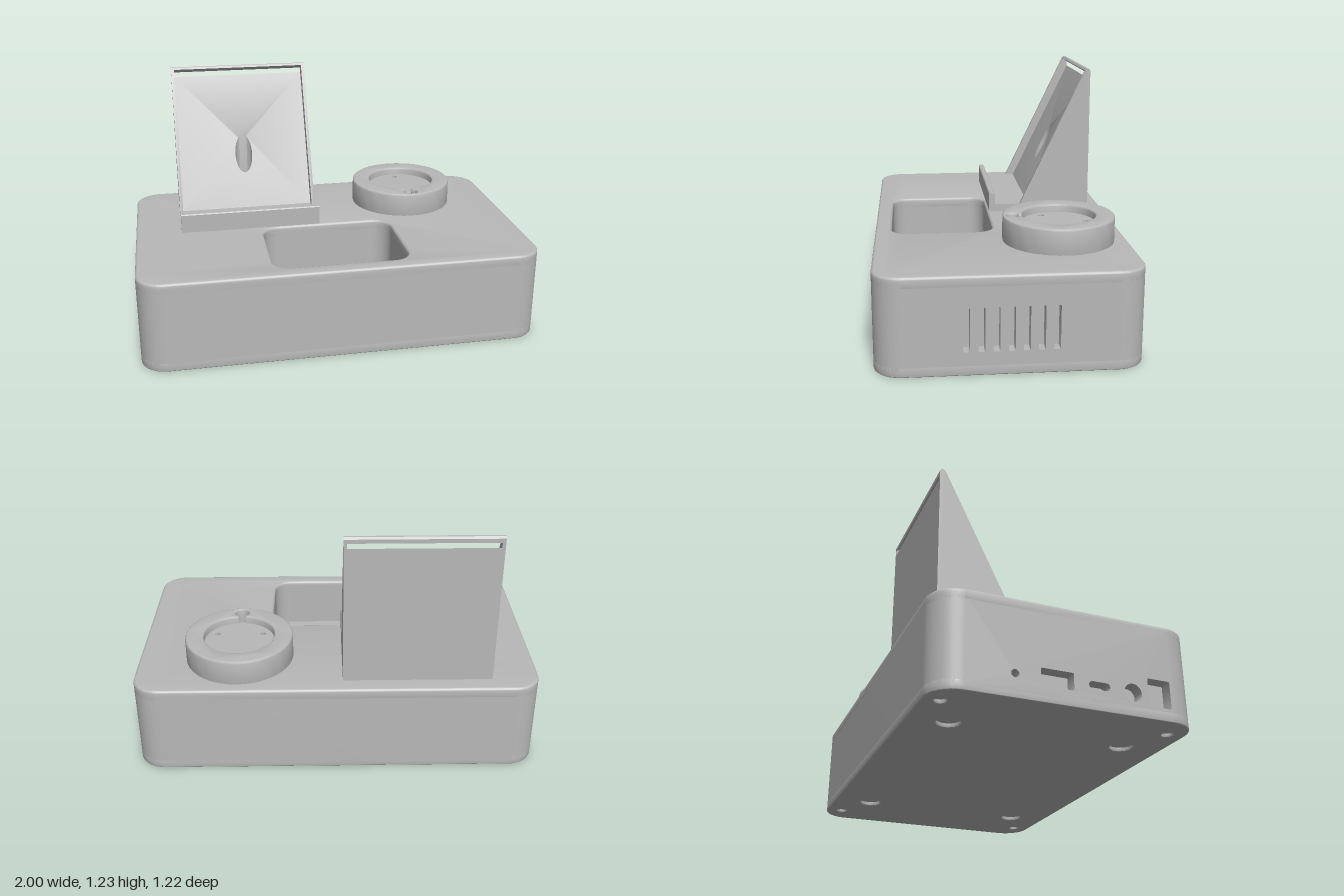
import * as THREE from 'three';
import { toCreasedNormals } from 'three/addons/utils/BufferGeometryUtils.js';

const grey = new THREE.MeshStandardMaterial({ color: 0xb8b8b8 });
grey.name = 'plain grey';

// Rounded rectangle; notch sinks the straight left and right edges inwards.
function roundRect(x0, x1, y0, y1, r, notch = 0) {
  const s = new THREE.Shape();
  const q = Math.PI / 2;
  s.absarc(x1 - r, y0 + r, r, -q, 0);
  if (notch) { s.lineTo(x1 - notch, y0 + r); s.lineTo(x1 - notch, y1 - r); }
  s.absarc(x1 - r, y1 - r, r, 0, q);
  s.absarc(x0 + r, y1 - r, r, q, 2 * q);
  if (notch) { s.lineTo(x0 + notch, y1 - r); s.lineTo(x0 + notch, y0 + r); }
  s.absarc(x0 + r, y0 + r, r, 2 * q, 3 * q);
  return s;
}

const circle = (x, y, r) => new THREE.Shape().absarc(x, y, r, 0, Math.PI * 2);
const polygon = (pts) => new THREE.Shape(pts.map(([x, y]) => new THREE.Vector2(x, y)));

function extrude(shape, depth, bevel) {
  const g = new THREE.ExtrudeGeometry(shape, {
    depth: depth - 2 * bevel, curveSegments: 20, bevelEnabled: bevel > 0,
    bevelThickness: bevel, bevelSize: bevel, bevelOffset: -bevel, bevelSegments: 3,
  });
  return g.translate(0, 0, bevel);
}

// Plan shape (x, -z) raised from y0 to y1.
const slab = (shape, y0, y1, bevel = 0) =>
  extrude(shape, y1 - y0, bevel).rotateX(-Math.PI / 2).translate(0, y0, 0);

// Side profile (z, y) swept from x0 to x1.
const across = (shape, x0, x1) =>
  extrude(shape, x1 - x0, 0).rotateY(-Math.PI / 2).translate(x1, 0, 0);

function add(group, name, geometry) {
  const mesh = new THREE.Mesh(toCreasedNormals(geometry, 0.6), grey);
  mesh.name = name;
  group.add(mesh);
}

function makeBase() {
  const g = new THREE.Group();
  g.name = 'base';
  const outline = (notch) => roundRect(-1, 1, -0.61, 0.61, 0.13, notch);
  const pocket = () => roundRect(-0.345, 0.34, -0.53, -0.02, 0.09);

  // Bottom plate with sunken feet and screw holes
  const bottom = outline(0);
  for (const sx of [-1, 1]) for (const sz of [-1, 1]) {
    bottom.holes.push(circle(sx * 0.645, sz * 0.42, 0.055));
    bottom.holes.push(circle(sx * 0.86, sz * 0.53, 0.028));
  }
  add(g, 'bottomPlate', slab(bottom, 0, 0.05, 0.005));

  // Body core, notched where the side panels sit
  const core = outline(0.06);
  core.holes.push(pocket());
  add(g, 'bodyCore', slab(core, 0.02, 0.44));
  add(g, 'pocketFloor', slab(pocket(), 0.03, 0.19));

  const top = outline(0);
  top.holes.push(pocket());
  add(g, 'topPlate', slab(top, 0.4, 0.46, 0.012));

  // Vent panel
  const panel = () => polygon([[-0.48, 0.03], [0.48, 0.03], [0.48, 0.44], [-0.48, 0.44]]);
  const vents = panel();
  for (let i = -3; i <= 3; i++) {
    const z = i * 0.0667;
    vents.holes.push(roundRect(z - 0.015, z + 0.015, 0.11, 0.315, 0.004));
  }
  add(g, 'ventPanel', across(vents, 0.94, 1));

  // Socket panel
  const sockets = panel();
  sockets.holes.push(
    circle(-0.26, 0.11, 0.018),
    roundRect(-0.145, 0.005, 0.075, 0.155, 0.005),
    roundRect(0.075, 0.175, 0.097, 0.133, 0.017),
    circle(0.285, 0.11, 0.042),
    roundRect(0.36, 0.47, 0.06, 0.19, 0.005),
  );
  add(g, 'socketPanel', across(sockets, -1, -0.94));
  return g;
}

function makePuck() {
  const g = new THREE.Group();
  g.name = 'roundCharger';
  const cx = 0.49, cy = 0.28, r = 0.178, hr = 0.035, hy = cy - 0.22, w = 0.017;

  // Keyhole opening: dish, narrow channel and cable hole
  const a = Math.asin(w / r), b = Math.asin(w / hr), q = Math.PI / 2;
  const keyhole = new THREE.Path();
  keyhole.absarc(cx, cy, r, -q + a, 3 * q - a);
  keyhole.absarc(cx, hy, hr, q + b, 5 * q - b);
  keyhole.closePath();
  const ring = circle(cx, cy, 0.272);
  ring.holes.push(keyhole);
  add(g, 'chargerRing', slab(ring, 0.43, 0.585, 0.01));

  const floor = circle(cx, cy, 0.184);
  for (let i = 0; i < 3; i++) {
    const t = q + i * Math.PI * 2 / 3;
    floor.holes.push(circle(cx + 0.135 * Math.cos(t), cy + 0.135 * Math.sin(t), 0.014));
  }
  add(g, 'chargerDish', slab(floor, 0.43, 0.545));
  return g;
}

function makeStand() {
  const g = new THREE.Group();
  g.name = 'slopedStand';
  const x0 = -0.765, x1 = -0.03, wall = 0.016;

  // Triangular side walls
  const side = polygon([[-0.525, 0.45], [-0.155, 0.45], [-0.155, 0.5], [-0.495, 1.212],
    [-0.505, 1.225], [-0.518, 1.225], [-0.525, 1.215]]);
  add(g, 'rightWall', across(side, x0, x0 + wall));
  add(g, 'leftWall', across(side, x1 - wall, x1));

  // Solid wedge with a vertical cable hole; its top follows the slope
  const plan = polygon([[x0 + wall, 0.2], [x1 - wall, 0.2], [x1 - wall, 0.525], [x0 + wall, 0.525]]);
  plan.holes.push(circle(-0.397, 0.33, 0.046));
  const wedge = slab(plan, 0, 1);
  const p = wedge.attributes.position;
  for (let i = 0; i < p.count; i++) {
    p.setY(i, p.getY(i) > 0.5 ? 0.5 + 2.06 * (-0.2 - p.getZ(i)) : 0.45);
  }
  wedge.computeVertexNormals();
  add(g, 'backrest', wedge);

  // Bar above the open slot
  const bar = polygon([[-0.525, 1.195], [-0.497, 1.215], [-0.505, 1.225], [-0.518, 1.225], [-0.525, 1.215]]);
  add(g, 'topBar', across(bar, x0 + wall, x1 - wall));

  // Tray with front lip
  const tray = polygon([[-0.21, 0.45], [0.01, 0.45], [0.01, 0.555], [0.005, 0.56],
    [-0.015, 0.56], [-0.02, 0.555], [-0.02, 0.5], [-0.21, 0.5]]);
  add(g, 'trayLip', across(tray, x0 + 0.001, x1 - 0.001));
  return g;
}

export function createModel() {
  const model = new THREE.Group();
  model.name = 'chargingDock';
  model.add(makeBase(), makePuck(), makeStand());
  return model;
}
